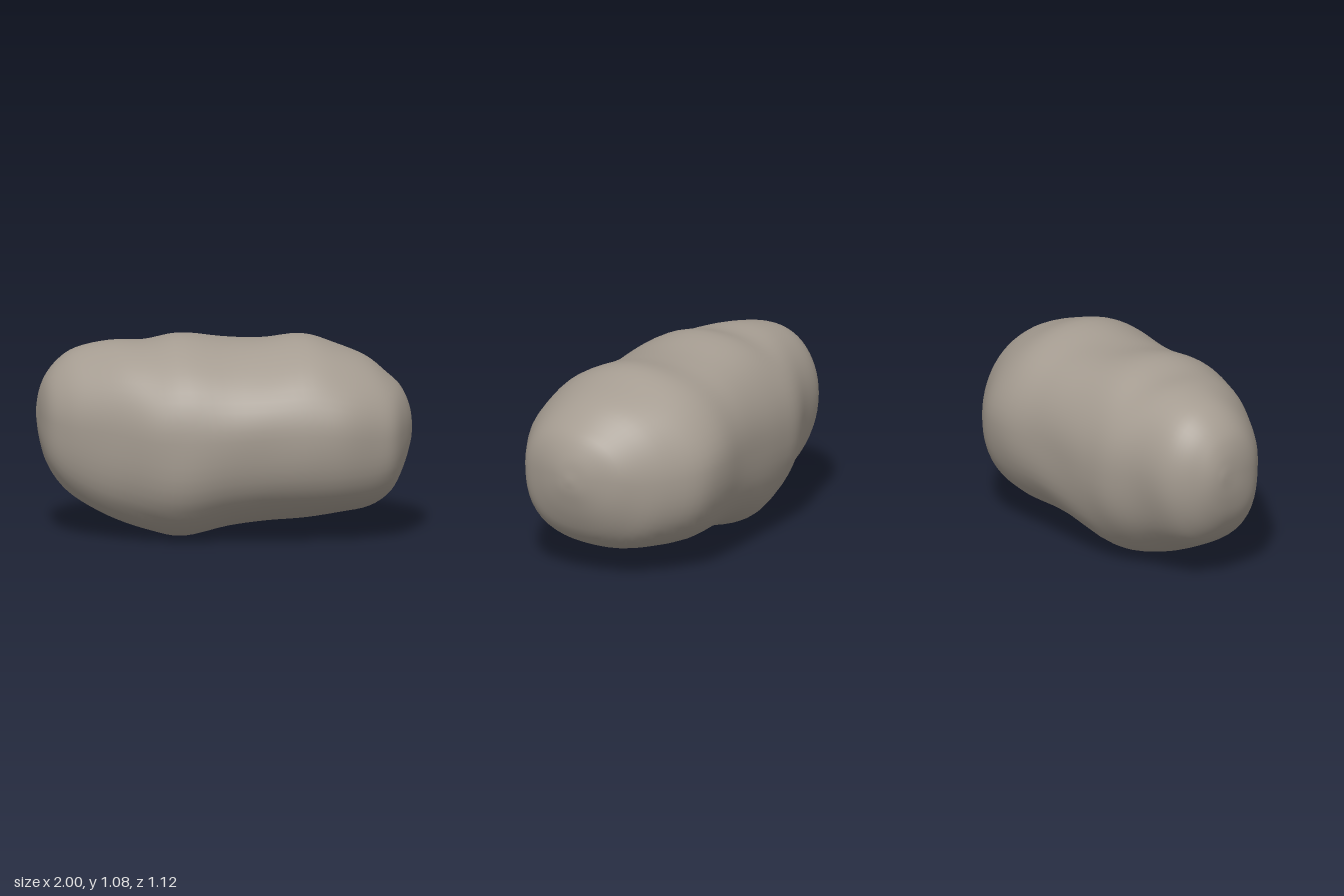
import * as THREE from 'three';

// Cross-sections along the boulder: x, top y, bottom y, back z, front z
const SECTIONS = [
  [-1.0, 0.67, 0.62, -0.21, -0.17],
  [-0.985, 0.77, 0.5, -0.27, -0.04],
  [-0.95, 0.86, 0.38, -0.33, 0.06],
  [-0.88, 0.94, 0.27, -0.41, 0.14],
  [-0.78, 1.0, 0.185, -0.465, 0.22],
  [-0.6, 1.045, 0.1, -0.495, 0.34],
  [-0.42, 1.05, 0.035, -0.54, 0.445],
  [-0.24, 1.078, 0.003, -0.54, 0.5],
  [0.0, 1.05, 0.055, -0.54, 0.52],
  [0.2, 1.05, 0.08, -0.545, 0.54],
  [0.42, 1.07, 0.09, -0.555, 0.555],
  [0.6, 1.02, 0.115, -0.52, 0.545],
  [0.76, 0.955, 0.15, -0.4, 0.485],
  [0.87, 0.87, 0.23, -0.27, 0.42],
  [0.94, 0.8, 0.35, -0.17, 0.3],
  [0.985, 0.7, 0.48, -0.04, 0.18],
  [1.0, 0.6, 0.56, 0.06, 0.1],
];
// Squareness of each quarter of the section at the right end, middle and left end
const SQUARENESS = {
  upperFront: [2.0, 2.0, 2.1],
  upperBack: [2.1, 2.3, 1.9],
  lowerBack: [2.0, 2.5, 2.2],
  lowerFront: [3.2, 2.35, 2.5],
};
const ROWS = 64;
const SIDES = 56;

function squareness(x, c, s) {
  const quarter = (s > 0 ? 'upper' : 'lower') + (c > 0 ? 'Front' : 'Back');
  const [right, middle, left] = SQUARENESS[quarter];
  const t = THREE.MathUtils.smoothstep(Math.abs(x), 0, 0.7);
  return THREE.MathUtils.lerp(middle, x < 0 ? right : left, t);
}

// Small lumps so the surface is not perfectly even
function lumps(x, y, z) {
  return 0.012 * Math.sin(6 * x + 4 * y + 1) * Math.sin(7 * z + 2 * x)
    + 0.007 * Math.sin(11 * y - 5 * x) * Math.cos(10 * z + 6 * x);
}

function boulderGeometry() {
  const curve = (a, b) => new THREE.CatmullRomCurve3(
    SECTIONS.map(s => new THREE.Vector3(s[0], s[a], s[b])), false, 'catmullrom', 0.5);
  const heights = curve(1, 2);
  const depths = curve(3, 4);
  const positions = [];
  const indices = [];

  for (let i = 0; i <= ROWS; i++) {
    const { x, y: top, z: bottom } = heights.getPoint(i / ROWS);
    const { y: back, z: front } = depths.getPoint(i / ROWS);
    const midY = bottom + (top - bottom) * 0.53;
    const midZ = (back + front) / 2;
    const fade = Math.min(1, (1 - Math.abs(x)) * 6);
    for (let j = 0; j < SIDES; j++) {
      const a = (j / SIDES) * Math.PI * 2;
      const c = Math.cos(a);
      const s = Math.sin(a);
      const power = squareness(x, c, s);
      const r = 1 / Math.pow(Math.abs(c) ** power + Math.abs(s) ** power, 1 / power);
      const y = r * s * (s > 0 ? top - midY : midY - bottom);
      // The ridge and the keel sit slightly behind the middle
      const z = r * c * (front - back) / 2 - 0.02 * fade * s * s;
      const k = 1 + fade * lumps(x, y + midY, z + midZ);
      positions.push(x, Math.max(0, midY + y * k), midZ + z * k);
    }
  }

  for (let i = 0; i < ROWS; i++) {
    for (let j = 0; j < SIDES; j++) {
      const n = (j + 1) % SIDES;
      const a = i * SIDES + j, b = i * SIDES + n;
      const c = a + SIDES, d = b + SIDES;
      indices.push(a, c, b, b, c, d);
    }
  }

  // Close both ends
  for (const row of [0, ROWS]) {
    const [x, top, bottom, back, front] = SECTIONS[row ? SECTIONS.length - 1 : 0];
    const tip = positions.length / 3;
    positions.push(x, (top + bottom) / 2, (back + front) / 2);
    for (let j = 0; j < SIDES; j++) {
      const a = row * SIDES + j, b = row * SIDES + (j + 1) % SIDES;
      if (row) indices.push(tip, b, a);
      else indices.push(tip, a, b);
    }
  }

  const geometry = new THREE.BufferGeometry();
  geometry.setAttribute('position', new THREE.Float32BufferAttribute(positions, 3));
  geometry.setIndex(indices);
  geometry.computeVertexNormals();
  return geometry;
}

export function createModel() {
  const stone = new THREE.MeshStandardMaterial({ color: 0xa59c91 });
  stone.name = 'warm grey stone';
  const boulder = new THREE.Mesh(boulderGeometry(), stone);
  boulder.name = 'boulder';
  const group = new THREE.Group();
  group.name = 'rock';
  group.add(boulder);
  return group;
}
